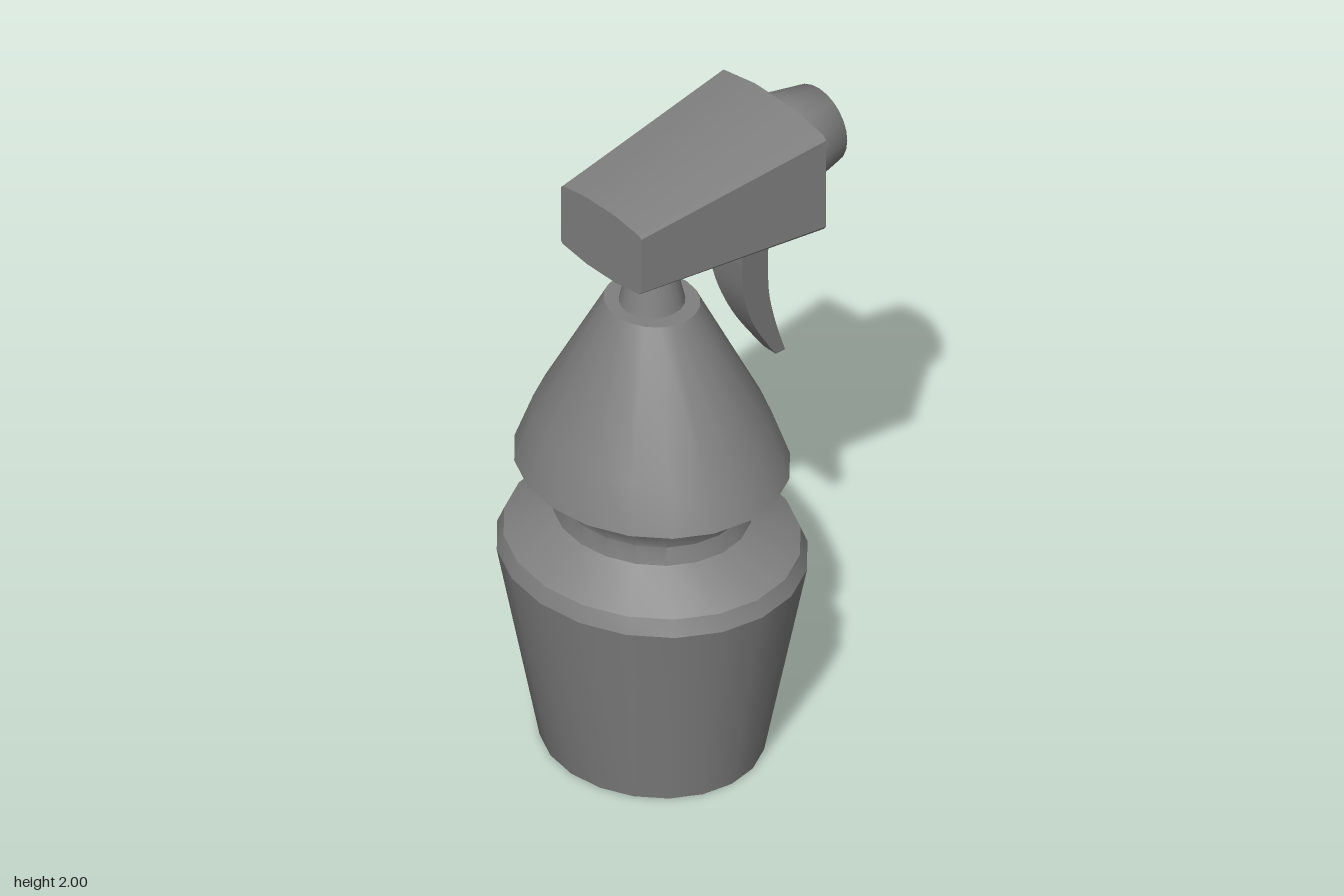
import * as THREE from 'three';
import { toCreasedNormals } from 'three/addons/utils/BufferGeometryUtils.js';

const CX = -0.107; // bottle axis

export function createModel() {
  const group = new THREE.Group();
  const material = new THREE.MeshStandardMaterial({ color: 0x808080 });
  const vecs = (pts) => pts.map(([x, y]) => new THREE.Vector2(x, y));

  const add = (name, geometry) => {
    const mesh = new THREE.Mesh(toCreasedNormals(geometry, 0.53), material);
    mesh.name = name;
    group.add(mesh);
  };

  // Waisted bottle, slightly oval
  const bottle = new THREE.LatheGeometry(vecs([
    [0, 0], [0.34, 0], [0.47, 0.65], [0.449, 0.7], [0.3, 0.785], [0.287, 0.84],
    [0.302, 0.885], [0.33, 0.912], [0.417, 0.96], [0.36, 1.11], [0.145, 1.51], [0, 1.51],
  ]), 20);
  bottle.scale(0.903, 1, 1).translate(CX, 0, 0);
  add('bottle', bottle);

  // Tapered neck between bottle and head
  const neck = new THREE.CylinderGeometry(0.046, 0.097, 0.23, 20);
  add('neck', neck.translate(CX, 1.615, 0));

  // Spray head: crowned section with chamfered corners, smaller towards the back
  const X0 = -0.3, X1 = 0.354;
  const corner = [[0.224, 0.15], [0.214, 0.163], [0.08, 0.187]];
  const flip = (sx, sy) => corner.map(([x, y]) => [x * sx, y * sy]);
  const section = new THREE.Shape(vecs([
    ...flip(1, 1), ...flip(-1, 1).reverse(), ...flip(-1, -1), ...flip(1, -1).reverse(),
  ]));
  const head = new THREE.ExtrudeGeometry(section, { depth: X1 - X0, bevelEnabled: false });
  head.rotateY(Math.PI / 2).translate(X0, 0, 0);
  const hp = head.attributes.position;
  for (let i = 0; i < hp.count; i++) {
    const t = (hp.getX(i) - X0) / (X1 - X0);
    hp.setY(i, THREE.MathUtils.lerp(1.808, 1.813, t) + hp.getY(i) * THREE.MathUtils.lerp(0.62, 1, t));
    hp.setZ(i, hp.getZ(i) * THREE.MathUtils.lerp(0.765, 1, t));
  }
  add('sprayHead', head);

  // Hollow nozzle pointing along +x
  const nozzle = new THREE.LatheGeometry(vecs([
    [0, 0], [0.15, 0], [0.148, 0.05], [0.121, 0.18], [0.117, 0.185],
    [0.1, 0.185], [0.097, 0.06], [0, 0.06],
  ]), 24);
  nozzle.rotateZ(-Math.PI / 2).translate(0.344, 1.823, 0);
  add('nozzle', nozzle);

  // Curved trigger, narrowing in width towards its tip
  const outline = new THREE.Shape();
  outline.moveTo(0.165, 1.68);
  outline.lineTo(0.165, 1.54);
  outline.splineThru(vecs([[0.19, 1.4], [0.245, 1.265], [0.338, 1.12]]));
  outline.lineTo(0.373, 1.12);
  outline.splineThru(vecs([[0.323, 1.25], [0.285, 1.38], [0.265, 1.53]]));
  outline.lineTo(0.265, 1.68);
  const trigger = new THREE.ExtrudeGeometry(outline, { depth: 2, bevelEnabled: false, curveSegments: 4 });
  trigger.translate(0, 0, -1);
  const tp = trigger.attributes.position;
  for (let i = 0; i < tp.count; i++) {
    const t = (tp.getY(i) - 1.12) / 0.51;
    tp.setZ(i, tp.getZ(i) * THREE.MathUtils.lerp(0.027, 0.087, t));
  }
  add('trigger', trigger);

  return group;
}
